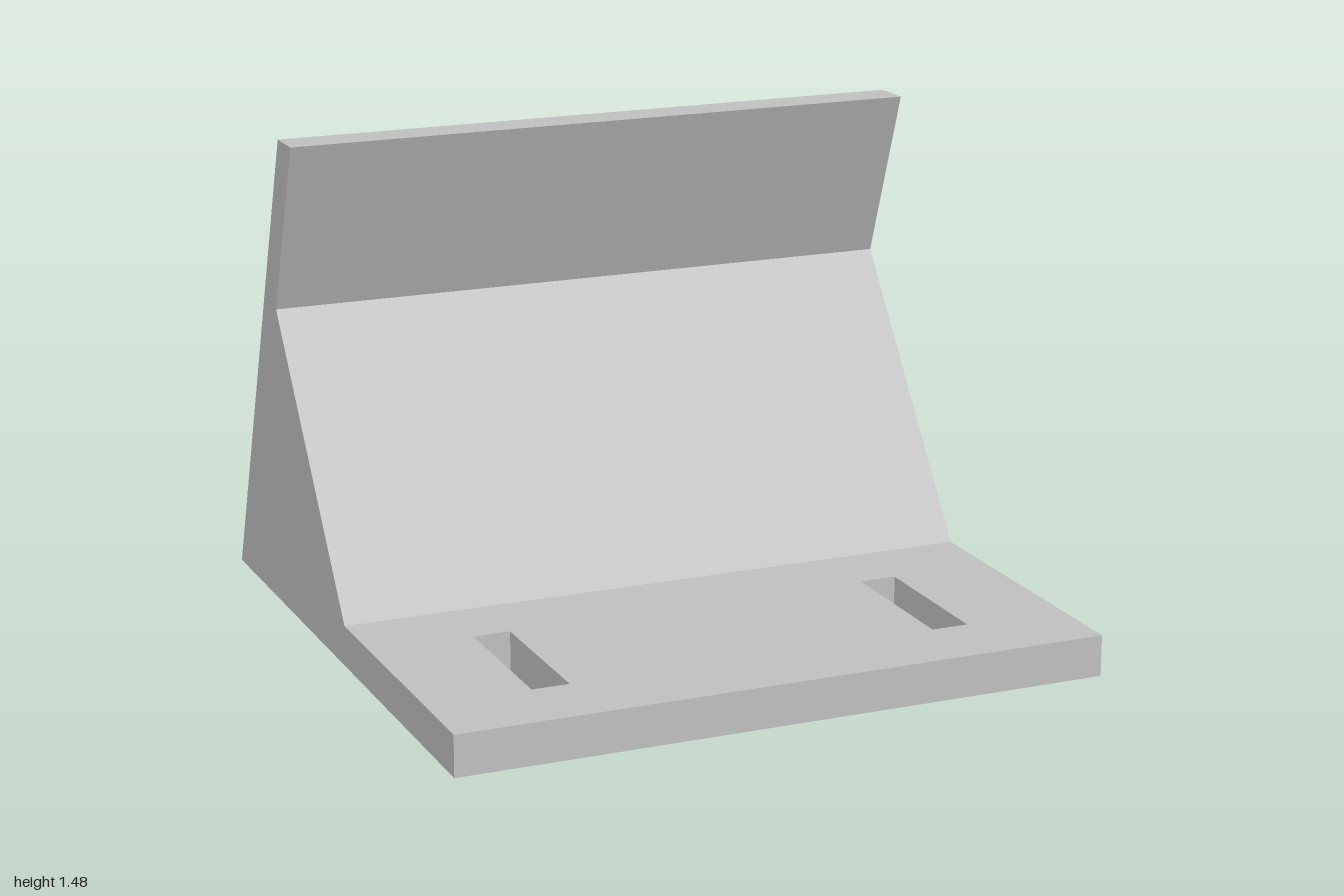
import * as THREE from 'three';

const WIDTH = 2;
const PLATE_HEIGHT = 0.125;
const JOINT_Z = 0.063;

const polygon = (points) => new THREE.Shape(points.map(([x, y]) => new THREE.Vector2(x, y)));
const rectangle = (x0, x1, z0, z1) => [[x0, z0], [x1, z0], [x1, z1], [x0, z1]];

export function createModel() {
  const group = new THREE.Group();
  group.name = 'slottedStand';
  const grey = new THREE.MeshStandardMaterial({ color: 0xc0c0c0 });
  grey.name = 'light grey';

  const addPart = (name, geometry) => {
    const mesh = new THREE.Mesh(geometry, grey);
    mesh.name = name;
    group.add(mesh);
  };

  // Base plate with a mirrored pair of through slots, drawn in x/z
  const outline = polygon(rectangle(-WIDTH / 2, WIDTH / 2, JOINT_Z, 1));
  for (const side of [-1, 1]) {
    const x = side * 0.627;
    outline.holes.push(polygon(rectangle(x - 0.057, x + 0.057, 0.295, 0.763)));
  }
  const plate = new THREE.ExtrudeGeometry(outline, { depth: PLATE_HEIGHT, bevelEnabled: false });
  plate.rotateX(Math.PI / 2).translate(0, PLATE_HEIGHT, 0);
  addPart('basePlate', plate);

  // Sloping support with a forward-leaning lip, drawn in z/y and extruded across the width
  const profile = polygon([
    [-1, 0], [JOINT_Z, 0], [JOINT_Z, PLATE_HEIGHT],
    [-0.535, 0.94], [-0.34, 1.475], [-0.465, 1.475],
  ]);
  const support = new THREE.ExtrudeGeometry(profile, { depth: WIDTH, bevelEnabled: false });
  support.rotateY(-Math.PI / 2).translate(WIDTH / 2, 0, 0);
  addPart('backSupport', support);

  return group;
}
